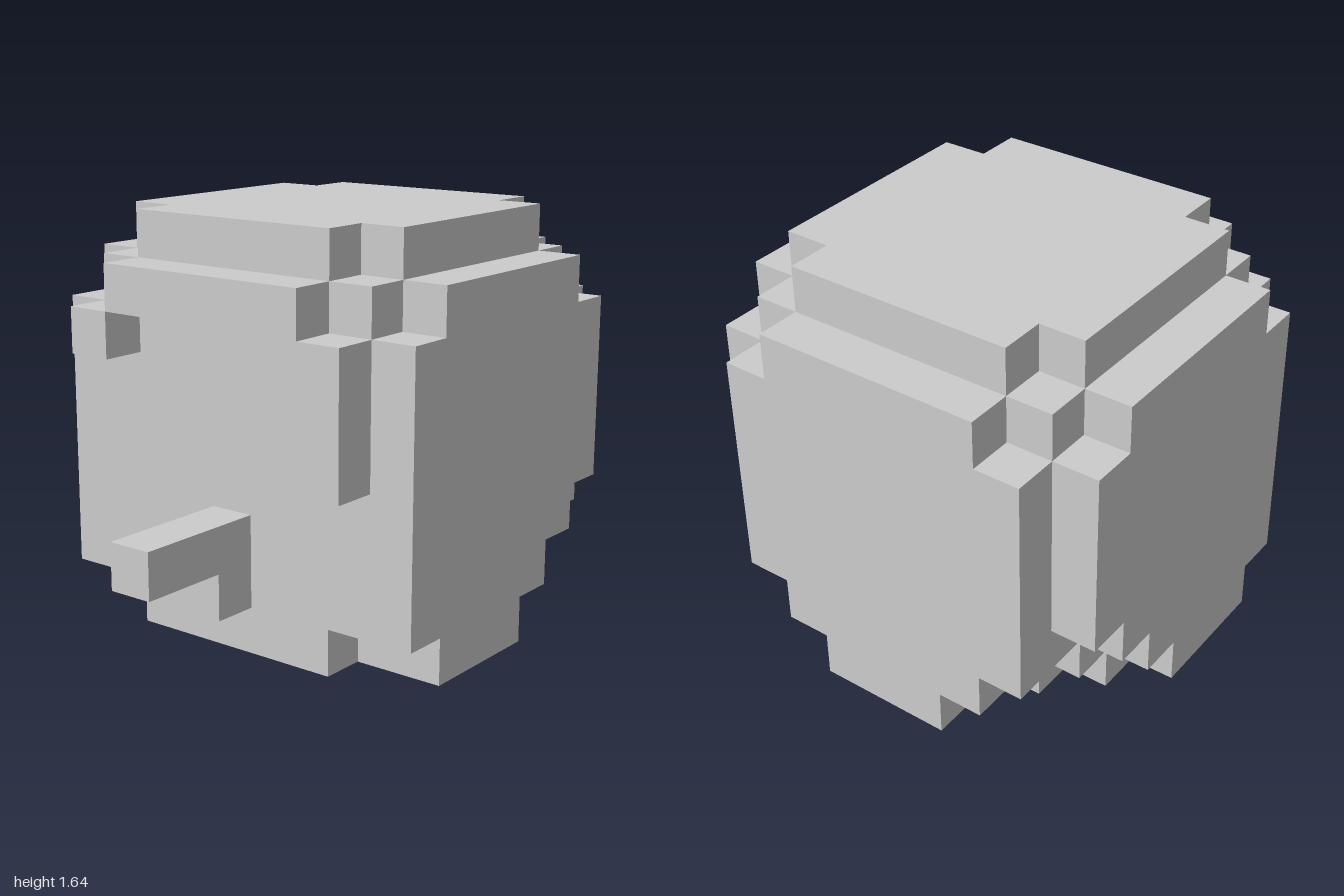
import * as THREE from 'three';
import { mergeGeometries } from 'three/addons/utils/BufferGeometryUtils.js';

const U = 2 / 11; // edge of one cube
const LAST = 8;   // cubes run 0..8 across, 0..8 up, 0..10 back to front

// For each layer from the ground up: first and last cube in depth,
// listed by column from the outer side to the middle.
const wall = { back: [1, 0, 0, 0, 0], front: [7, 7, 7, 7, 7] };
const LAYERS = [
  { back: [4, 3, 2, 0, 0], front: [6, 6, 7, 7, 7] },
  { back: [3, 2, 0, 0, 0], front: wall.front },
  { back: [2, 0, 0, 0, 0], front: wall.front },
  wall, wall, wall, wall,
  { back: [2, 1, 0, 0, 0], front: [6, 7, 7, 7, 7] },
  { back: [9, 2, 1, 1, 1], front: [8, 6, 7, 7, 7] },
];

// Lowest and highest cube of the fringe in columns 1..7
const FRINGE = [null, [6, 6], [7, 7], [7, 7], [7, 7], [6, 7], [5, 7], [4, 6]];

const PARTS = {
  head(i, j, k) {
    if (i < 0 || i > LAST || j < 0 || j > LAST) return false;
    const column = Math.min(i, LAST - i);
    return k >= LAYERS[j].back[column] && k <= LAYERS[j].front[column];
  },
  fringe(i, j, k) {
    const span = FRINGE[i];
    return !!span && k === 8 && j >= span[0] && j <= span[1];
  },
  nose(i, j, k) {
    return i === 4 && ((k === 8 && (j === 1 || j === 2)) || (j === 2 && (k === 9 || k === 10)));
  },
};

const isSolid = (i, j, k) => Object.values(PARTS).some((inside) => inside(i, j, k));

// One outward-facing square for each side of a cube
const square = () => new THREE.PlaneGeometry(U, U).translate(0, 0, U / 2);
const SIDES = [
  { step: [0, 0, 1], face: square() },
  { step: [0, 0, -1], face: square().rotateY(Math.PI) },
  { step: [1, 0, 0], face: square().rotateY(Math.PI / 2) },
  { step: [-1, 0, 0], face: square().rotateY(-Math.PI / 2) },
  { step: [0, 1, 0], face: square().rotateX(-Math.PI / 2) },
  { step: [0, -1, 0], face: square().rotateX(Math.PI / 2) },
];

// Skin of a part: only the cube sides that touch open air
function buildSkin(inside) {
  const faces = [];
  for (let i = 0; i <= LAST; i++) {
    for (let j = 0; j <= LAST; j++) {
      for (let k = 0; k <= 10; k++) {
        if (!inside(i, j, k)) continue;
        for (const { step, face } of SIDES) {
          if (isSolid(i + step[0], j + step[1], k + step[2])) continue;
          faces.push(face.clone().translate((i - 4) * U, (j + 0.5) * U, (k - 5) * U));
        }
      }
    }
  }
  return mergeGeometries(faces);
}

export function createModel() {
  const group = new THREE.Group();
  group.name = 'blockHead';
  const material = new THREE.MeshStandardMaterial({ color: 0xcccccc, flatShading: true });
  for (const [name, inside] of Object.entries(PARTS)) {
    const mesh = new THREE.Mesh(buildSkin(inside), material);
    mesh.name = name;
    group.add(mesh);
  }
  return group;
}
